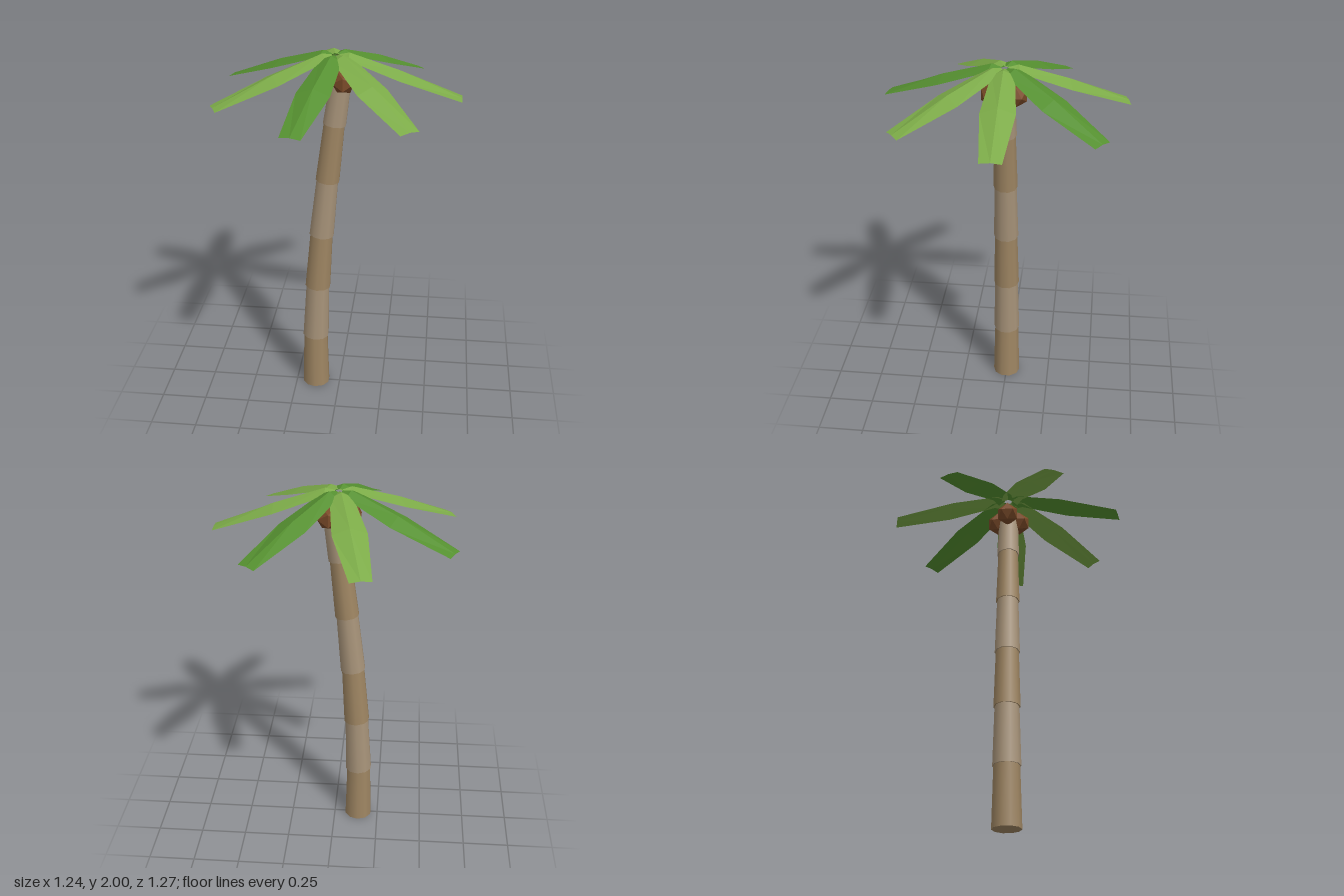
import * as THREE from 'three';

const mat = (color, opts = {}) => new THREE.MeshStandardMaterial({ color, ...opts });
const UP = new THREE.Vector3(0, 1, 0);

// Folded leaf blade along +x: rows of [radius, half width, edge height, ridge height]
function leafGeometry() {
  const rows = [
    [0.02, 0.05, 1.965, 1.99],
    [0.07, 0.058, 1.975, 2.0],
    [0.33, 0.087, 1.885, 1.915],
    [0.64, 0.054, 1.778, 1.784],
  ];
  const pos = [], index = [];
  rows.forEach(([r, w, edge, ridge], i) => {
    pos.push(r, edge, -w, r, ridge, 0, r, edge, w);
    if (i === 0) return;
    for (let k = 0; k < 2; k++) {
      const a = (i - 1) * 3 + k, b = i * 3 + k;
      index.push(a, a + 1, b, b, a + 1, b + 1);
    }
  });
  const g = new THREE.BufferGeometry();
  g.setAttribute('position', new THREE.Float32BufferAttribute(pos, 3));
  g.setIndex(index);
  g.computeVertexNormals();
  return g;
}

export function createModel() {
  const palm = new THREE.Group();
  palm.name = 'palmTree';

  // Trunk: tapered segments following a gentle lean, each flaring over the one below
  const trunk = new THREE.Group();
  trunk.name = 'trunk';
  const barks = [mat(0x9f8663), mat(0xa8947a)];
  const leanX = [-0.138, -0.136, -0.122, -0.098, -0.064, -0.026, 0.018];
  const heights = [0, 0.325, 0.65, 0.975, 1.3, 1.62, 1.93];
  for (let i = 0; i < 6; i++) {
    const a = new THREE.Vector3(leanX[i], heights[i], 0);
    const b = new THREE.Vector3(leanX[i + 1], heights[i + 1] + (i < 5 ? 0.01 : 0), 0);
    const dir = b.clone().sub(a);
    const r = 0.077 - i * 0.003;
    const seg = new THREE.Mesh(new THREE.CylinderGeometry(r - 0.009, r, dir.length(), 10), barks[i % 2]);
    seg.name = 'trunkSegment' + (i + 1);
    seg.position.copy(a).add(b).multiplyScalar(0.5);
    seg.quaternion.setFromUnitVectors(UP, dir.normalize());
    // the lowest segment stands upright on the ground
    if (i === 0) seg.quaternion.identity();
    trunk.add(seg);
  }
  palm.add(trunk);

  // Crown: seven drooping leaves in two alternating greens
  const crown = new THREE.Group();
  crown.name = 'crown';
  crown.position.x = -0.02;
  const blade = leafGeometry();
  const greens = [0x7cab48, 0x559030].map(c => mat(c, { flatShading: true, side: THREE.DoubleSide }));
  for (let i = 0; i < 7; i++) {
    const leaf = new THREE.Mesh(blade, greens[i % 2]);
    leaf.name = 'leaf' + (i + 1);
    leaf.rotation.y = (i / 7) * Math.PI * 2;
    crown.add(leaf);
  }
  palm.add(crown);

  // Coconuts clustered round the top of the trunk
  const nutGeo = new THREE.IcosahedronGeometry(0.064, 0);
  const nutMat = mat(0x7a4a28, { flatShading: true });
  for (let i = 0; i < 3; i++) {
    const t = Math.PI / 3 + (i / 3) * Math.PI * 2;
    const nut = new THREE.Mesh(nutGeo, nutMat);
    nut.name = 'coconut' + (i + 1);
    nut.position.set(-0.008 + Math.cos(t) * 0.07, 1.865, Math.sin(t) * 0.07);
    palm.add(nut);
  }
  return palm;
}
